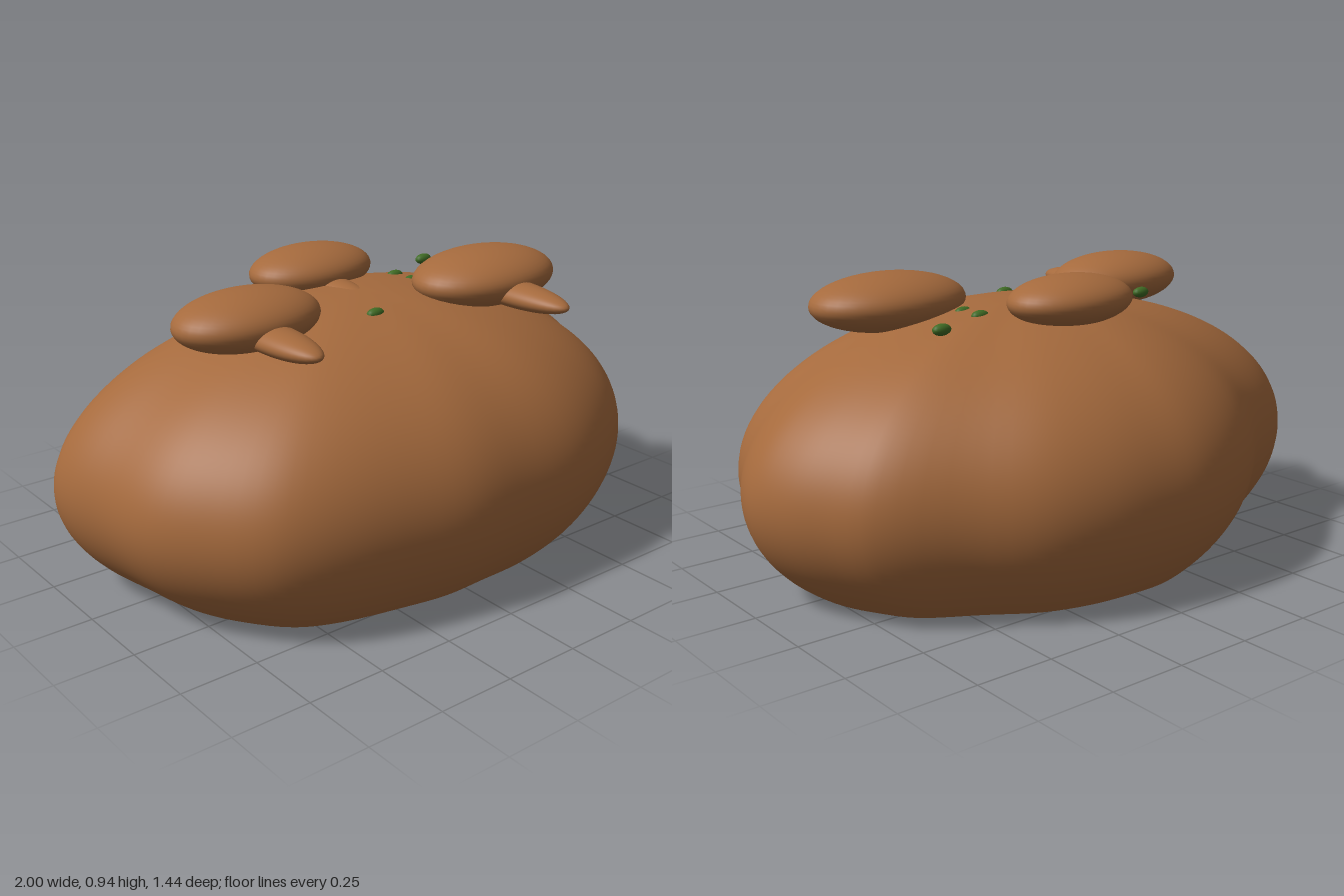
import * as THREE from 'three';
import { mergeVertices } from 'three/addons/utils/BufferGeometryUtils.js';

const CENTRE_Y = 0.33, RADIUS_Y = 0.517;

// Widest outline of the bun as (x, z), running from left round the front
const OUTLINE = [
  [-1, -0.13], [-0.97, 0.05], [-0.93, 0.24], [-0.85, 0.385], [-0.72, 0.535], [-0.56, 0.615],
  [-0.29, 0.68], [-0.1, 0.712], [0.1, 0.708], [0.3, 0.7], [0.43, 0.672], [0.57, 0.61],
  [0.72, 0.51], [0.84, 0.38], [0.91, 0.225], [0.97, 0.11], [0.998, 0], [0.97, -0.13],
  [0.91, -0.25], [0.82, -0.38], [0.6, -0.52], [0.41, -0.64], [0.22, -0.7], [0.03, -0.72],
  [-0.13, -0.72], [-0.29, -0.68], [-0.45, -0.6], [-0.64, -0.46], [-0.85, -0.36], [-0.98, -0.23],
];

export function createModel() {
  const model = new THREE.Group();
  const brown = new THREE.MeshStandardMaterial({ color: 0xa56a3d });
  brown.name = 'baked brown';
  const green = new THREE.MeshStandardMaterial({ color: 0x3f6b24 });
  green.name = 'herb green';

  const add = (name, geometry, material, parent = model) => {
    const mesh = new THREE.Mesh(geometry, material);
    mesh.name = name;
    parent.add(mesh);
    return mesh;
  };

  // Lumpy dome: a cut sphere whose rings follow the outline
  const curve = new THREE.CatmullRomCurve3(
    OUTLINE.map(([x, z]) => new THREE.Vector3(x, 0, z)), true);
  const cut = Math.acos(-CENTRE_Y / RADIUS_Y);
  let dome = new THREE.SphereGeometry(1, 120, 64, 0, Math.PI * 2, 0, cut);
  const pos = dome.attributes.position, uv = dome.attributes.uv;
  for (let i = 0; i < pos.count; i++) {
    const y = pos.getY(i);
    const ring = Math.sqrt(Math.max(0, 1 - y * y));
    const edge = curve.getPoint(((uv.getX(i) % 1) + 1) % 1);
    pos.setXYZ(i, edge.x * ring, CENTRE_Y + RADIUS_Y * y, edge.z * ring);
  }
  dome.deleteAttribute('uv');
  dome.deleteAttribute('normal');
  dome = mergeVertices(dome, 1e-5);
  dome.computeVertexNormals();
  add('bun', dome, brown);

  // Flat underside
  const baseScale = Math.sin(cut);
  const rim = curve.getPoints(120).slice(0, -1)
    .map((p) => new THREE.Vector2(p.x * baseScale, p.z * baseScale));
  add('base', new THREE.ShapeGeometry(new THREE.Shape(rim)).rotateX(Math.PI / 2), brown);

  // Mushroom slices: flattened caps, each with a stem pointing forward
  const ball = new THREE.SphereGeometry(1, 40, 28);
  const mushrooms = [
    { cap: [-0.465, 0.85, 0.073], size: [0.243, 0.089, 0.162], stem: [0.071, 0.041, 0.22], stemZ: 0.21 },
    { cap: [-0.014, 0.862, -0.22], size: [0.223, 0.08, 0.15], stem: [0.06, 0.037, 0.2], stemZ: -0.115 },
    { cap: [0.407, 0.851, 0.16], size: [0.268, 0.092, 0.18], stem: [0.07, 0.042, 0.24], stemZ: 0.295 },
  ];
  for (const { cap, size, stem, stemZ } of mushrooms) {
    const mushroom = new THREE.Group();
    mushroom.name = 'mushroom';
    const capMesh = add('mushroomCap', ball, brown, mushroom);
    capMesh.position.set(...cap);
    capMesh.scale.set(...size);
    const stemMesh = add('mushroomStem', ball, brown, mushroom);
    stemMesh.position.set(cap[0], 0.821, stemZ);
    stemMesh.scale.set(...stem);
    model.add(mushroom);
  }

  // Scattered herb flecks
  const fleck = new THREE.SphereGeometry(1, 16, 12);
  const flecks = [[-0.44, -0.087], [-0.08, 0.198], [0.243, -0.01], [0.24, -0.092], [0.455, -0.193]];
  for (const [x, z] of flecks) {
    const herb = add('herbFleck', fleck, green);
    herb.position.set(x, 0.821, z);
    herb.scale.set(0.032, 0.018, 0.018);
  }
  return model;
}
